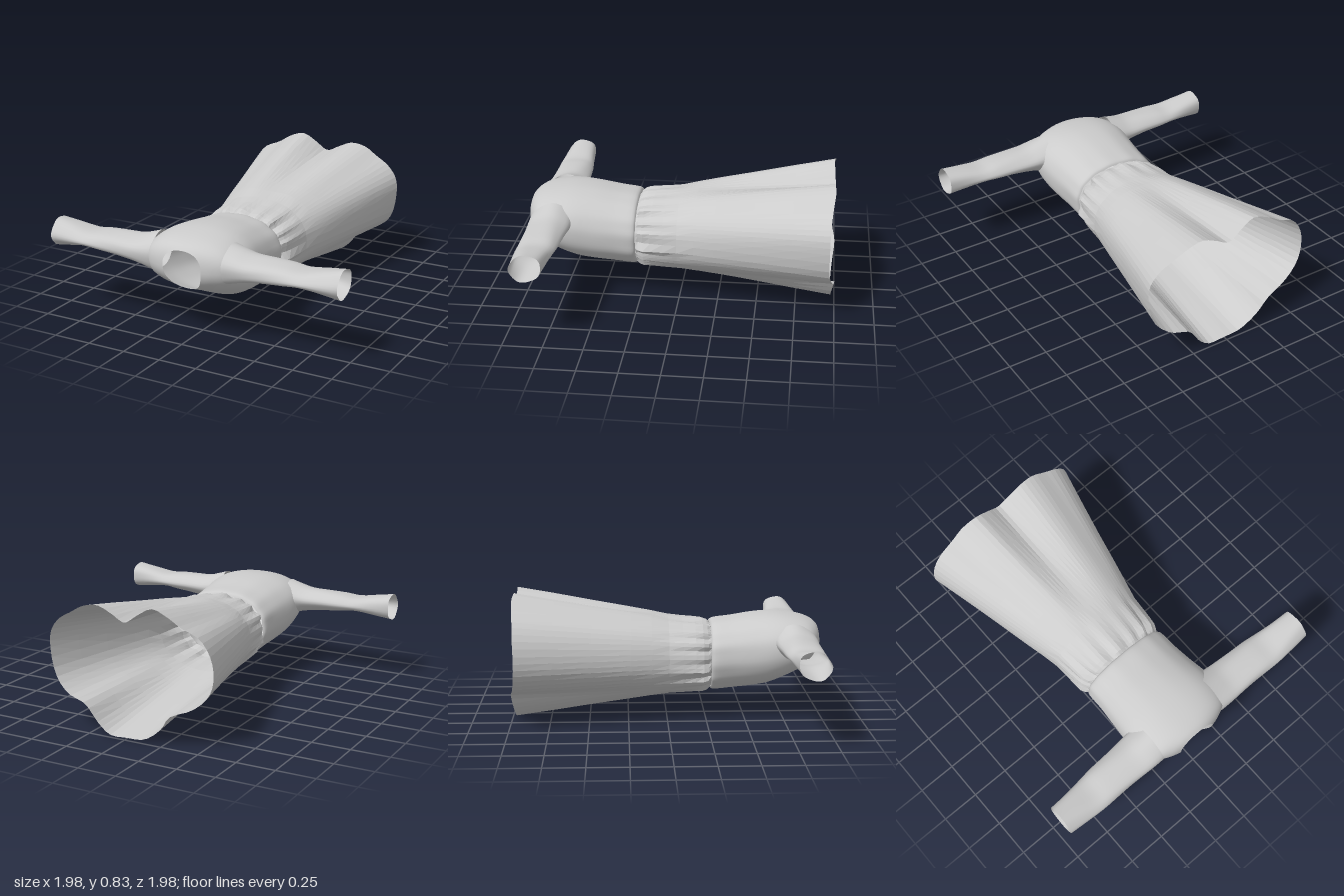
import * as THREE from 'three';

// Skin a list of closed rings (arrays of Vector3) into an open tube.
function loft(name, rings, flat) {
  const n = rings[0].length, pos = [], idx = [];
  rings.forEach(r => r.forEach(p => pos.push(p.x, p.y, p.z)));
  for (let i = 0; i < rings.length - 1; i++) {
    for (let j = 0; j < n; j++) {
      const a = i * n + j, b = i * n + (j + 1) % n;
      idx.push(a, b, a + n, b, b + n, a + n);
    }
  }
  const g = new THREE.BufferGeometry();
  g.setAttribute('position', new THREE.Float32BufferAttribute(pos, 3));
  g.setIndex(idx);
  g.computeVertexNormals();
  const mesh = new THREE.Mesh(g, new THREE.MeshStandardMaterial({
    color: 0xcccccc, side: THREE.DoubleSide, flatShading: flat }));
  mesh.name = name;
  return mesh;
}

// Smoothly resample a table of section rows.
function resample(rows, steps) {
  const out = [], cr = (a, b, c, d, t) =>
    b + 0.5 * t * (c - a + t * (2 * a - 5 * b + 4 * c - d + t * (3 * (b - c) + d - a)));
  for (let i = 0; i < rows.length - 1; i++) {
    const [a, b, c, d] = [-1, 0, 1, 2].map(k =>
      rows[Math.min(rows.length - 1, Math.max(0, i + k))]);
    for (let s = 0; s < steps; s++) {
      out.push(b.map((_, k) => cr(a[k], b[k], c[k], d[k], s / steps)));
    }
  }
  out.push(rows[rows.length - 1]);
  return out;
}

const soft = (v, e) => Math.sign(v) * Math.abs(v) ** e;

// Flared skirt: a gathered oval waist blending into a wavy hem.
function makeSkirt() {
  const hem = new THREE.CatmullRomCurve3([
    [0.55, 0.50, -0.955], [0.54, 0.61, -0.955], [0.48, 0.69, -0.96], [0.38, 0.75, -0.97],
    [0.29, 0.80, -0.98], [0.19, 0.815, -0.975], [0.09, 0.775, -0.975], [0.0, 0.735, -0.98],
    [-0.08, 0.785, -0.975], [-0.18, 0.838, -0.97], [-0.29, 0.805, -0.98], [-0.38, 0.75, -0.975],
    [-0.49, 0.70, -0.965], [-0.56, 0.60, -0.96], [-0.58, 0.47, -0.955], [-0.55, 0.36, -0.96],
    [-0.45, 0.265, -0.975], [-0.31, 0.205, -0.995], [-0.24, 0.11, -0.985], [-0.12, 0.025, -0.975],
    [0.0, 0.015, -0.975], [0.12, 0.015, -0.975], [0.20, 0.08, -0.98], [0.28, 0.19, -0.995],
    [0.41, 0.235, -0.985], [0.51, 0.33, -0.96]
  ].map(p => new THREE.Vector3(...p)), true).getPoints(72).slice(0, 72);

  // z, half width, top, bottom, gather depth, blend towards the hem
  const rows = [[-1, 0.34, 0.665, 0.155, 0, 1], [-0.72, 0.34, 0.665, 0.155, 0, 0.75],
    [-0.48, 0.34, 0.665, 0.155, 0, 0.5], [-0.23, 0.34, 0.665, 0.155, 0, 0.25],
    [-0.10, 0.34, 0.665, 0.155, 0, 0.11], [0.01, 0.34, 0.66, 0.155, 0.002, 0],
    [0.1, 0.335, 0.65, 0.16, 0.005, 0], [0.18, 0.33, 0.645, 0.165, 0.008, 0],
    [0.23, 0.325, 0.64, 0.165, 0.012, 0], [0.26, 0.31, 0.63, 0.175, 0.012, 0],
    [0.28, 0.29, 0.612, 0.192, 0.004, 0]];
  const rings = rows.map(([z, w, top, bot, gather, blend]) => hem.map(h => {
    const a = Math.atan2((h.y - 0.43) / 0.41, (h.x + 0.01) / 0.56);
    const k = 1 - gather * (1 + Math.sin(18 * a + 0.6) + 0.6 * Math.sin(11 * a)) / w;
    const p = new THREE.Vector3(
      w * k * soft(Math.cos(a), 0.9),
      (top + bot) / 2 + (top - bot) / 2 * k * soft(Math.sin(a), 0.9), z);
    p.x += (h.x - p.x) * blend;
    p.y += (h.y - p.y) * blend;
    if (blend === 1) p.z = h.z;
    return p;
  }));
  return loft('skirt', rings, true);
}

// Bodice: rises from the waist and closes in to the egg-shaped neckline.
function makeBodice() {
  // z at sides, z at top, z at bottom, half width, top, widest height, bottom
  const rows = [[0.28, 0.28, 0.28, 0.29, 0.612, 0.42, 0.192],
    [0.305, 0.305, 0.305, 0.308, 0.635, 0.42, 0.177],
    [0.42, 0.42, 0.42, 0.312, 0.65, 0.43, 0.188],
    [0.56, 0.56, 0.54, 0.325, 0.672, 0.44, 0.203],
    [0.70, 0.69, 0.64, 0.338, 0.68, 0.47, 0.222],
    [0.83, 0.79, 0.72, 0.325, 0.672, 0.49, 0.258],
    [0.92, 0.88, 0.80, 0.28, 0.655, 0.50, 0.295],
    [0.965, 0.945, 0.87, 0.20, 0.63, 0.50, 0.325],
    [0.985, 0.978, 0.91, 0.132, 0.60, 0.50, 0.34]];
  const n = 72;
  const rings = resample(rows, 4).map(([zs, zt, zb, w, top, mid, bot], i, all) =>
    Array.from({ length: n }, (_, j) => {
      const a = j / n * Math.PI * 2, c = Math.cos(a), s = Math.sin(a);
      const t = i / (all.length - 1);
      const fold = 1 + 0.012 * Math.sin(14 * a) * (1 - t) ** 3;
      return new THREE.Vector3(
        w * fold * soft(c, 0.9),
        mid + (s > 0 ? top - mid : mid - bot) * fold * soft(s, 0.9),
        zs + ((s > 0 ? zt : zb) - zs) * s * s);
    }));
  return loft('bodice', rings, false);
}

// Sleeve: flattened tube from the armhole, opening again at the cuff.
function makeSleeve(side) {
  // x, centre height, centre z, half height, half depth
  const rows = [[0.25, 0.515, 0.815, 0.12, 0.138], [0.32, 0.515, 0.82, 0.098, 0.135],
    [0.40, 0.515, 0.823, 0.078, 0.13], [0.52, 0.52, 0.825, 0.068, 0.124],
    [0.64, 0.522, 0.828, 0.06, 0.122], [0.74, 0.522, 0.833, 0.05, 0.117],
    [0.86, 0.524, 0.835, 0.068, 0.107], [0.99, 0.526, 0.836, 0.088, 0.097]];
  const n = 32;
  const rings = resample(rows, 3).map(([x, y, z, ry, rz]) =>
    Array.from({ length: n }, (_, j) => {
      const a = side * j / n * Math.PI * 2;
      const r = 1 + 0.03 * Math.sin(5 * a + 6 * x);
      return new THREE.Vector3(side * x, y + ry * r * Math.cos(a), z - 0.01 * Math.cos(a)
        + rz * r * Math.sin(a));
    }));
  return loft(side > 0 ? 'leftSleeve' : 'rightSleeve', rings, false);
}

export function createModel() {
  const dress = new THREE.Group();
  dress.name = 'dress';
  dress.add(makeSkirt(), makeBodice(), makeSleeve(1), makeSleeve(-1));
  return dress;
}
